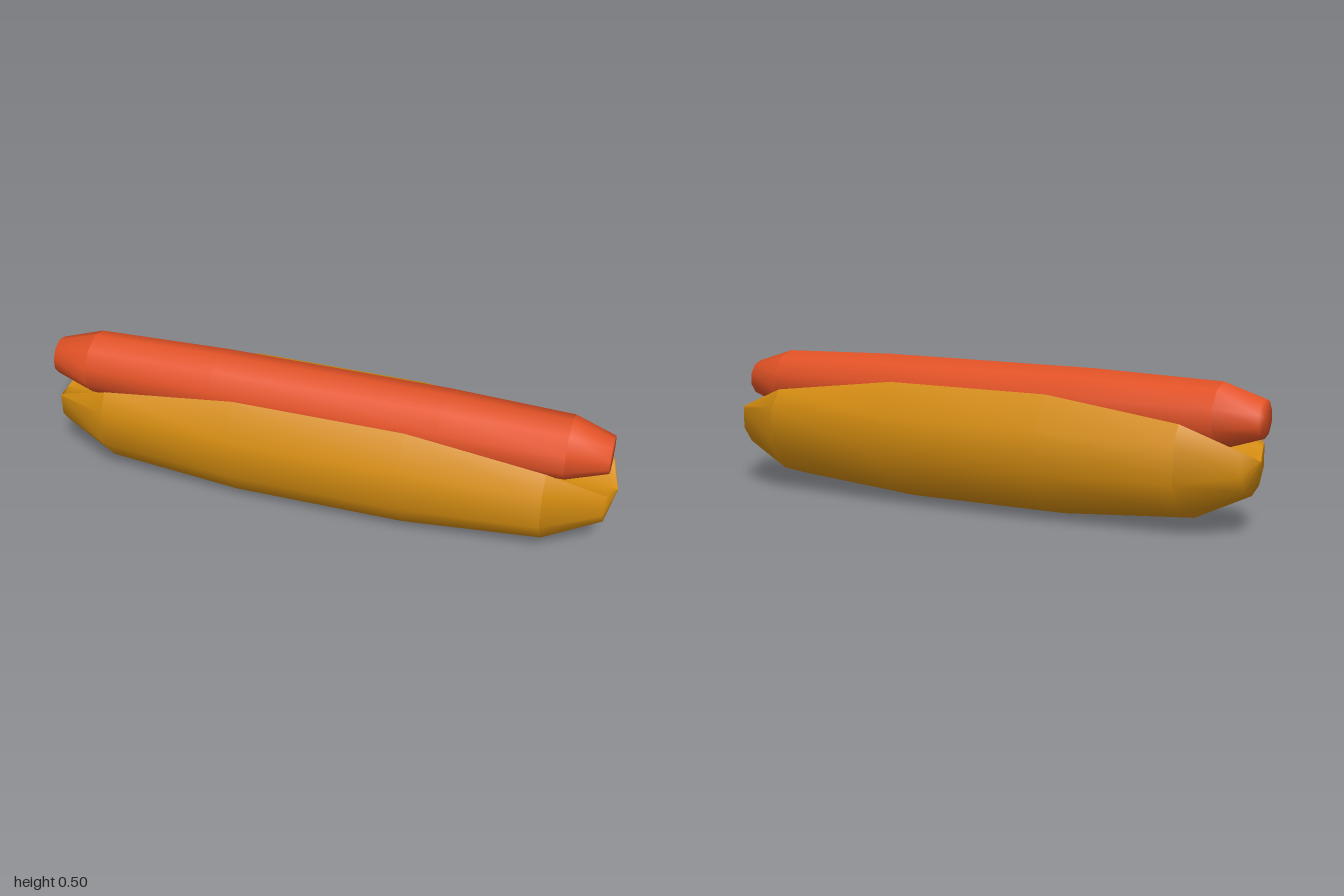
import * as THREE from 'three';

// Skins a list of cross-sections; each section is a list of [x, y, z] points
function loft(sections, closed) {
  const n = sections[0].length;
  const index = [];
  for (let i = 0; i < sections.length - 1; i++) {
    for (let j = 0; j < (closed ? n : n - 1); j++) {
      const k = (j + 1) % n;
      const a = i * n + j, b = a + n, c = i * n + k, d = c + n;
      index.push(a, b, c, b, d, c);
    }
  }
  const geo = new THREE.BufferGeometry();
  geo.setAttribute('position', new THREE.Float32BufferAttribute(sections.flat(2), 3));
  geo.setIndex(index);
  geo.computeVertexNormals();
  return geo;
}

// Middle and two ends are skinned separately, leaving a crease where each end begins
function addBody(parent, name, sections, closed, material) {
  const last = sections.length;
  const spans = { LeftEnd: [last - 3, last], Middle: [2, last - 2], RightEnd: [0, 3] };
  for (const [suffix, [from, to]] of Object.entries(spans)) {
    const mesh = new THREE.Mesh(loft(sections.slice(from, to), closed), material);
    mesh.name = name + suffix;
    parent.add(mesh);
  }
}

// Mirrors a half profile of [z, y] points, running from the centre line to the rim
function mirrored(half, x) {
  const right = half.slice(1).reverse().map(([z, y]) => [x, y, -z]);
  return [...right, ...half.map(([z, y]) => [x, y, z])];
}

export function createModel() {
  const group = new THREE.Group();
  const bread = new THREE.MeshStandardMaterial({ color: 0xd48c10, side: THREE.DoubleSide });
  bread.name = 'bread';
  const meat = new THREE.MeshStandardMaterial({ color: 0xe25226 });
  meat.name = 'meat';

  // Bun: ten-sided tapering body cut by a straight groove
  const bun = new THREE.Group();
  bun.name = 'bun';
  group.add(bun);
  const R = 0.243;
  const full = [0.15, 0.427], mid = [0.15, 0.367], end = [0.104, 0.287];
  // x, scale, rim point, foot of the groove's upright wall
  const stations = [
    [-0.99, 0, [0, R], [0, R]],
    [-0.962, 0.47, end, end],
    [-0.77, 0.85, mid, [0.15, 0.352]],
    [-0.3, 1, full, [0.15, 0.352]],
    [0.3, 1, full, [0.15, 0.352]],
    [0.775, 0.85, mid, [0.15, 0.352]],
    [0.967, 0.47, end, end],
    [0.998, 0, [0, R], [0, R]],
  ];
  const crust = stations.map(([x, s, rim]) => {
    const half = [0, 1, 2, 3].map((k) => {
      const a = (k * Math.PI) / 5;
      return [Math.sin(a) * R * s, R - Math.cos(a) * R * s];
    });
    return mirrored([...half, rim], x);
  });
  const groove = stations.map(([x, s, rim, foot]) => {
    const floor = s ? [[0, 0.245], [0.094, 0.273]] : [[0, R], [0, R]];
    return mirrored([...floor, foot, rim], x).reverse();
  });
  addBody(bun, 'crust', crust, false, bread);
  const grooveMesh = new THREE.Mesh(loft(groove, false), bread);
  grooveMesh.name = 'groove';
  bun.add(grooveMesh);

  // Sausage: ten-sided, nearly straight, with blunt ends
  const sausage = new THREE.Group();
  sausage.name = 'sausage';
  group.add(sausage);
  const rings = [
    [-1, 0], [-1, 0.064], [-0.86, 0.109], [-0.4, 0.122],
    [0.4, 0.122], [0.825, 0.109], [0.965, 0.064], [0.965, 0],
  ].map(([x, r]) => Array.from({ length: 10 }, (_, k) => {
    const a = (k * Math.PI) / 5;
    return [x, 0.381 - Math.cos(a) * r, Math.sin(a) * r];
  }));
  addBody(sausage, 'sausage', rings, true, meat);

  return group;
}
